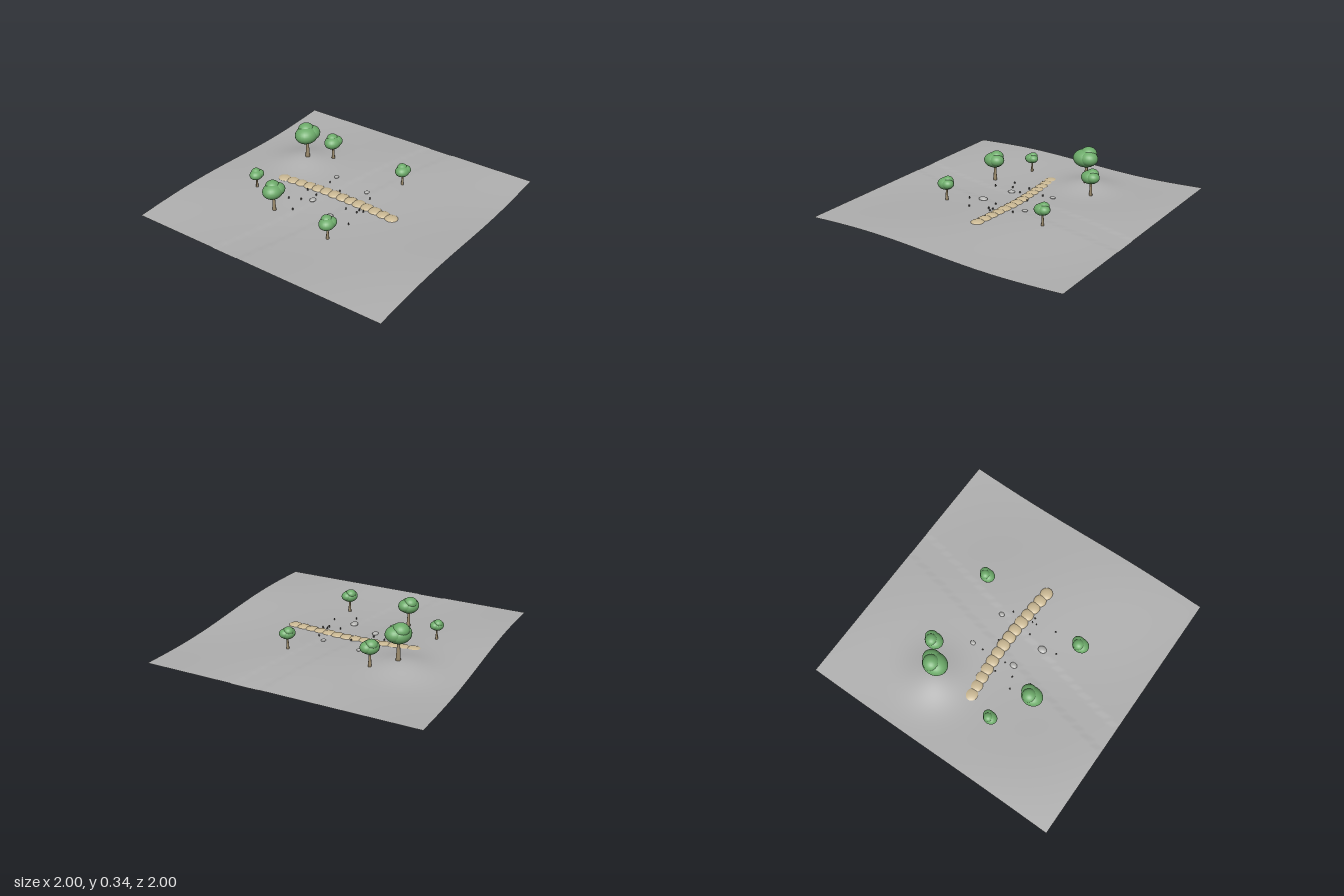
import * as THREE from 'three';

const mat = (name, color, side = THREE.FrontSide) => {
  const m = new THREE.MeshStandardMaterial({ color, side });
  m.name = name;
  return m;
};

// Ground height: gentle waves, one hill, and a shallow diagonal trench
function groundHeight(x, z) {
  const waves = 0.018 * Math.sin(Math.PI * x) * Math.cos(Math.PI * z);
  const hill = 0.047 * Math.exp(-((x - 0.28) ** 2 + (z + 0.56) ** 2) / (2 * 0.14 ** 2));
  const trench = Math.abs(z - 0.22 * x) < 0.1 ? 0.003 : 0;
  return 0.03 + waves + hill - trench;
}

export function createModel() {
  const root = new THREE.Group();
  root.name = 'landscape';
  const ground = mat('ground grey', 0xb0b0b0, THREE.DoubleSide);
  const leaf = mat('leaf green', 0x6dab6a);
  const bark = mat('bark brown', 0x9c8b6c);
  const sand = mat('path sand', 0xcbb994);
  const rock = mat('rock grey', 0xb4b4b2);
  const dark = mat('pebble dark grey', 0x5c5a57);

  const ball = new THREE.SphereGeometry(1, 24, 16);
  function ellipsoid(parent, name, material, p, r) {
    const mesh = new THREE.Mesh(ball, material);
    mesh.name = name;
    mesh.position.set(...p);
    mesh.scale.set(...r);
    parent.add(mesh);
  }

  // Terrain sheet
  const sheet = new THREE.PlaneGeometry(2, 2, 100, 100).rotateX(-Math.PI / 2);
  const pos = sheet.attributes.position;
  for (let i = 0; i < pos.count; i++) pos.setY(i, groundHeight(pos.getX(i), pos.getZ(i)));
  sheet.computeVertexNormals();
  const terrain = new THREE.Mesh(sheet, ground);
  terrain.name = 'terrain';
  root.add(terrain);

  // Path of overlapping flattened stones
  const path = new THREE.Group();
  path.name = 'stonePath';
  for (let i = 0; i < 14; i++) {
    const t = i / 13;
    const x = -0.018 + 0.03 * Math.sin(Math.PI * t);
    const r = i % 9 === 0 ? 0.052 : 0.049;
    ellipsoid(path, 'pathStone', sand, [x, 0.023, -0.505 + 0.94 * t], [r, 0.021, r * 1.08]);
  }
  root.add(path);

  // Trees: flared trunk and a crown of three lobes
  const trunk = new THREE.LatheGeometry(
    [[0, -0.02], [0.019, -0.02], [0.016, 0.02], [0.011, 0.1], [0.012, 0.18], [0, 0.18]]
      .map(([x, y]) => new THREE.Vector2(x, y)), 12);
  const trees = [
    [0.28, -0.52, 1], [0.405, -0.37, 0.73], [-0.39, -0.305, 0.84],
    [-0.238, -0.588, 0.55], [-0.455, 0.21, 0.66], [0.395, 0.262, 0.61],
  ];
  for (const [x, z, s] of trees) {
    const tree = new THREE.Group();
    tree.name = 'tree';
    const stem = new THREE.Mesh(trunk, bark);
    stem.name = 'trunk';
    tree.add(stem);
    ellipsoid(tree, 'lowerCrown', leaf, [-0.01, 0.188, 0], [0.095, 0.066, 0.083]);
    ellipsoid(tree, 'upperCrown', leaf, [0.007, 0.222, -0.016], [0.062, 0.05, 0.06]);
    ellipsoid(tree, 'sideCrown', leaf, [0.028, 0.195, 0.018], [0.07, 0.054, 0.065]);
    tree.position.set(x, groundHeight(x, z), z);
    tree.scale.setScalar(s);
    root.add(tree);
  }

  // Rounded rocks half sunk in the ground
  for (const [x, z, r] of [[-0.138, -0.155, 0.027], [-0.238, 0.063, 0.033],
    [0.197, -0.188, 0.02], [0.155, 0.112, 0.021]]) {
    ellipsoid(root, 'rock', rock, [x, groundHeight(x, z) + 0.004, z], [r, r * 0.45, r * 0.8]);
  }

  // Small upright pebbles
  const pebbleShape = new THREE.CylinderGeometry(0.004, 0.006, 0.016, 6);
  const pebbles = [
    [-0.216, -0.312], [-0.178, -0.23], [-0.313, -0.2], [-0.055, -0.265], [-0.075, -0.172],
    [0.112, -0.187], [0.06, -0.06], [-0.098, 0.107], [-0.338, 0.095], [-0.24, 0.23],
    [-0.094, 0.197], [-0.06, 0.23], [0.098, 0.178], [-0.06, 0.195],
  ];
  for (const [x, z] of pebbles) {
    const pebble = new THREE.Mesh(pebbleShape, dark);
    pebble.name = 'pebble';
    pebble.position.set(x, groundHeight(x, z) + 0.006, z);
    root.add(pebble);
  }
  return root;
}
